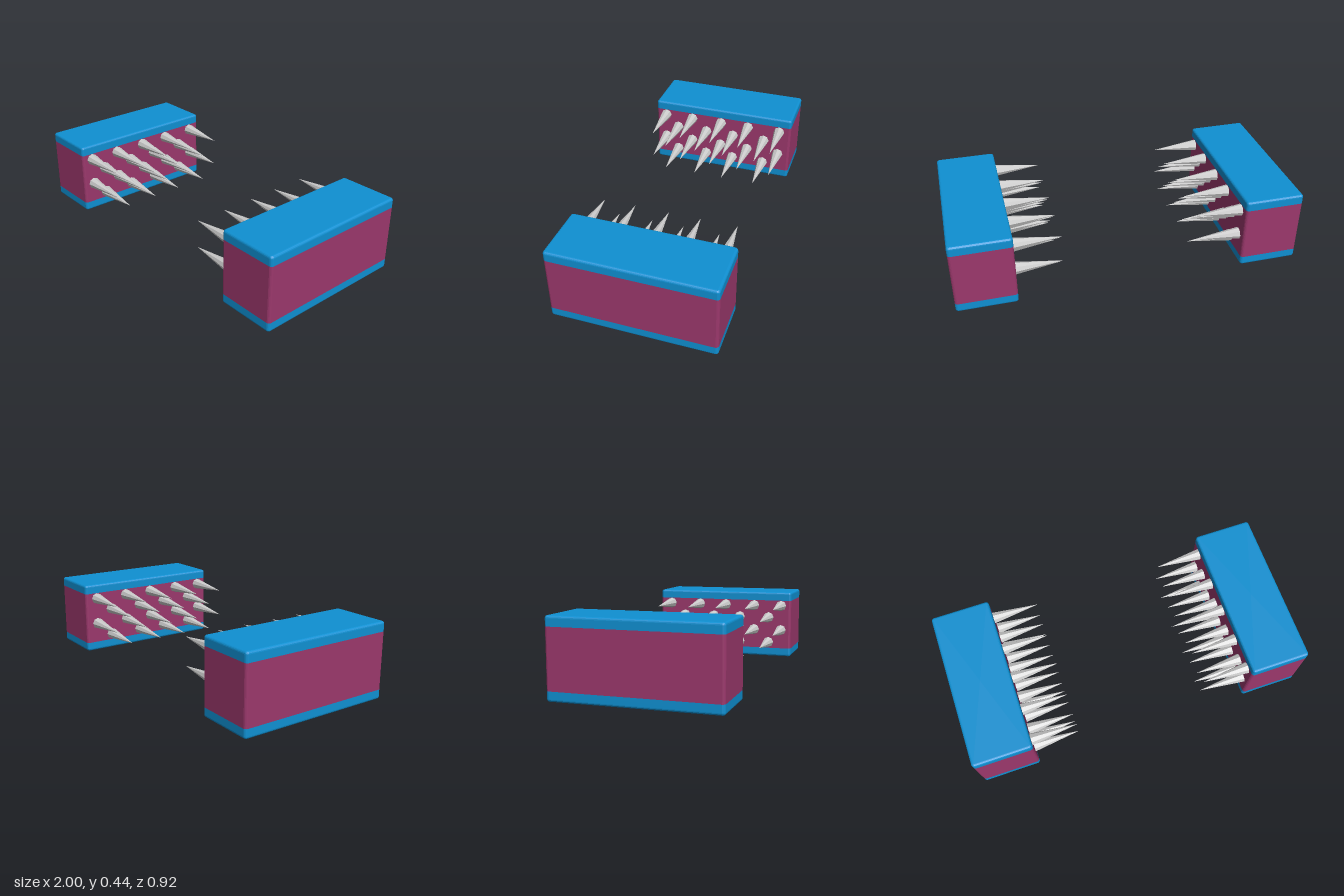
import * as THREE from 'three';

const W = 0.345, H = 0.435, D = 0.925;      // block size
const LOW = 0.055, HIGH = 0.38;             // limits of the middle band
const R = 0.018, BEVEL = 0.014;             // upright edge radius, rim rounding

const blue = new THREE.MeshStandardMaterial({ color: 0x0f90d2, flatShading: true });
const plum = new THREE.MeshStandardMaterial({ color: 0x9b386c, flatShading: true });
const grey = new THREE.MeshStandardMaterial({ color: 0xcccccc, flatShading: true });

// Lathe whose four quadrants are pushed apart into a rounded rectangle
function roundedBand(profile) {
  const n = 16;
  const points = profile.map(([r, y]) => new THREE.Vector2(r, y));
  const geo = new THREE.LatheGeometry(points, n, Math.PI / n);
  const p = geo.attributes.position;
  for (let i = 0; i < p.count; i++) {
    const x = p.getX(i), z = p.getZ(i);
    p.setX(i, x + Math.sign(x) * (W / 2 - R));
    p.setZ(i, z + Math.sign(z) * (D / 2 - R));
  }
  geo.computeVertexNormals();
  return geo;
}

// Rounded rim running from the centre of the underside up to the outer wall
const rim = [[0, 0]];
for (let i = 0; i <= 4; i++) {
  const a = (i / 4) * Math.PI / 2;
  rim.push([R - BEVEL + BEVEL * Math.sin(a), BEVEL * (1 - Math.cos(a))]);
}
const bottomGeo = roundedBand([...rim, [R, LOW]]);
const middleGeo = roundedBand([[R, LOW], [R, HIGH]]);
const topGeo = roundedBand([[R, HIGH], ...rim.map(([r, y]) => [r, H - y]).reverse()]);

// Spike pointing along +x with its base at the origin
const spikeGeo = new THREE.ConeGeometry(0.035, 0.275, 8)
  .rotateZ(-Math.PI / 2).translate(0.1375, 0, 0);

// Staggered rows: five spikes alternate with four
const five = [-0.385, -0.175, 0.01, 0.21, 0.395];
const four = [-0.285, -0.075, 0.11, 0.31];
const rows = [[0.345, five], [0.265, four], [0.18, five], [0.095, four]];

function part(name, geo, material) {
  const mesh = new THREE.Mesh(geo, material);
  mesh.name = name;
  return mesh;
}

function spikedBlock(name) {
  const block = new THREE.Group();
  block.name = name;
  block.add(part('bottomBand', bottomGeo, blue));
  block.add(part('middleBand', middleGeo, plum));
  block.add(part('topBand', topGeo, blue));

  const spikes = new THREE.Group();
  spikes.name = 'spikes';
  for (const [y, zs] of rows) {
    for (const z of zs) {
      const spike = part('spike', spikeGeo, grey);
      spike.position.set(W / 2 - 0.001, y, z);
      spikes.add(spike);
    }
  }
  block.add(spikes);
  return block;
}

export function createModel() {
  const model = new THREE.Group();
  model.name = 'spikedBlocks';

  const right = spikedBlock('rightBlock');
  right.position.x = -1 + W / 2;

  // The left block is the mirror image, spikes facing inward
  const left = spikedBlock('leftBlock');
  left.position.x = 1 - W / 2;
  left.scale.x = -1;

  model.add(right, left);
  return model;
}
